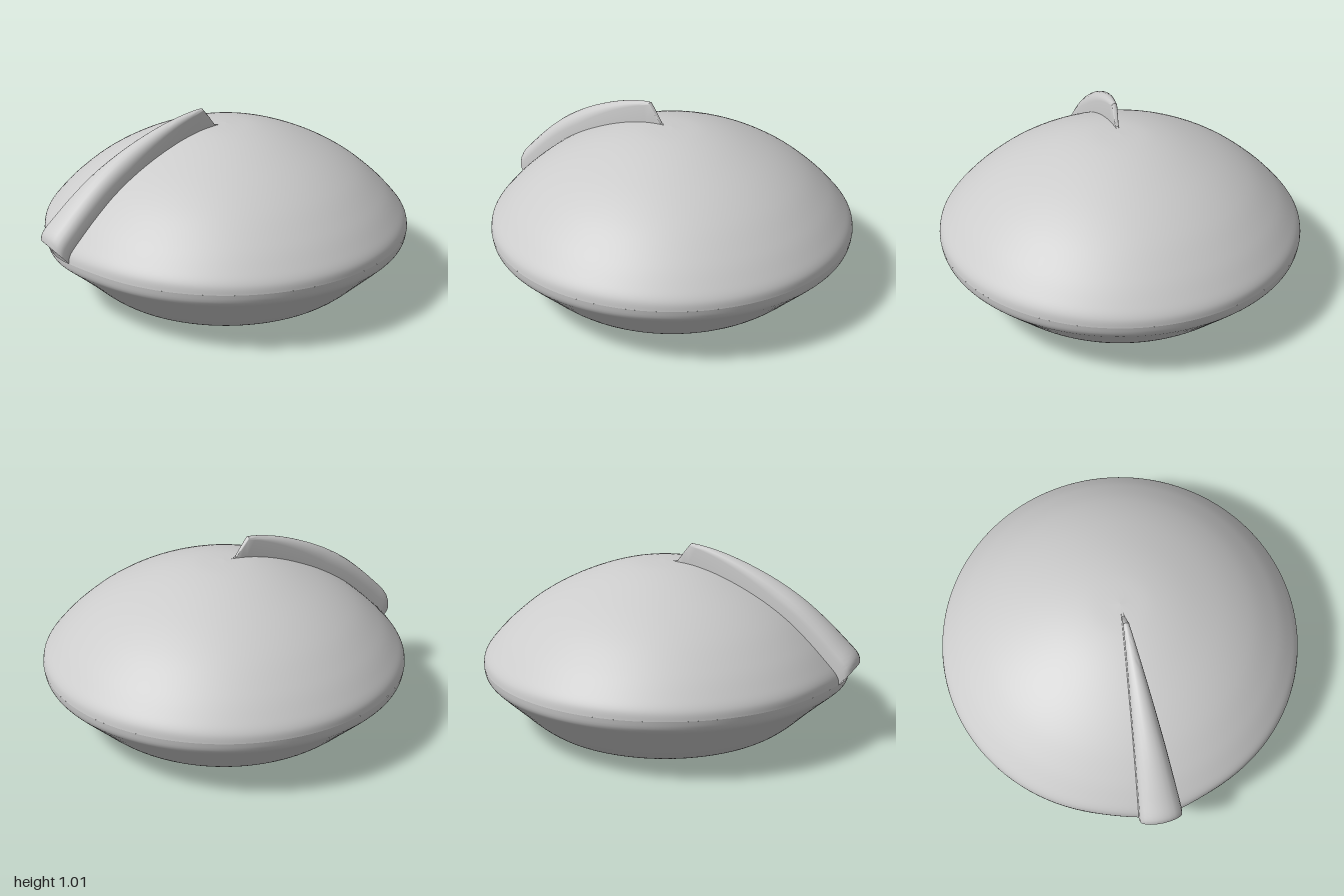
import * as THREE from 'three';
import { toCreasedNormals } from 'three/addons/utils/BufferGeometryUtils.js';

const FIN_PHI = THREE.MathUtils.degToRad(-60.7); // direction of the fin around y
const HALF = THREE.MathUtils.degToRad(6.5);      // half angle of its wedge
const material = new THREE.MeshStandardMaterial({ color: 0xcccccc, side: THREE.DoubleSide });

const curve = (pts, n) => new THREE.SplineCurve(pts.map(p => new THREE.Vector2(...p))).getPoints(n);

// Slight swelling of the rim where the fin ends
function bulge(phi, y) {
  const d = Math.atan2(Math.sin(phi - FIN_PHI), Math.cos(phi - FIN_PHI));
  return 0.03 * Math.exp(-((d / 0.2) ** 2) - ((y - 0.37) / 0.1) ** 2);
}

function shell(name, profile, start, length) {
  const g = new THREE.LatheGeometry(profile, 120, start, length);
  const p = g.attributes.position;
  for (let i = 0; i < p.count; i++) {
    const x = p.getX(i), y = p.getY(i), z = p.getZ(i), r = Math.hypot(x, z);
    if (r < 0.5) continue;
    const k = 1 + bulge(Math.atan2(x, z), y) / r;
    p.setXYZ(i, x * k, y, z * k);
  }
  const m = new THREE.Mesh(g, material);
  m.name = name;
  return m;
}

// Hollow tapering fin: rounded cross-sections standing on the dome profile
function fin(profile) {
  const pos = [], idx = [], N = 10, ring = N + 3;
  const u = [Math.sin(FIN_PHI), Math.cos(FIN_PHI)];
  const v = [Math.cos(FIN_PHI), -Math.sin(FIN_PHI)];
  const add = (rho, y, s) => pos.push(u[0] * rho + v[0] * s, y, u[1] * rho + v[1] * s);

  profile.forEach((pt, i) => {
    const a = profile[Math.max(i - 1, 0)], b = profile[Math.min(i + 1, profile.length - 1)];
    const tilt = Math.min(Math.atan2(a.y - b.y, b.x - a.x), 0.72);
    const dr = Math.sin(tilt), dy = Math.cos(tilt);
    const h = 0.115 * THREE.MathUtils.clamp((pt.x - 0.07) / 0.07, 0, 1);
    const r = pt.x + bulge(FIN_PHI + HALF, pt.y);
    const w = r * Math.sin(HALF), rho = r * Math.cos(HALF);
    const round = Math.min(0.6 * h, w);
    add(rho, pt.y, w);
    for (let k = 0; k <= N; k++) {
      const t = Math.PI * k / N, e = h - round + round * Math.sin(t);
      add(rho + dr * e, pt.y + dy * e, w * Math.cos(t));
    }
    add(rho, pt.y, -w);
  });
  for (let i = 0; i < profile.length - 1; i++) {
    for (let k = 0; k < ring - 1; k++) {
      const a = i * ring + k, b = a + ring;
      idx.push(a, a + 1, b, a + 1, b + 1, b);
    }
  }
  // Outer end wall
  const last = (profile.length - 1) * ring;
  for (let k = 1; k < ring - 1; k++) idx.push(last, last + k, last + k + 1);

  const g = new THREE.BufferGeometry();
  g.setAttribute('position', new THREE.Float32BufferAttribute(pos, 3));
  g.setIndex(idx);
  const m = new THREE.Mesh(toCreasedNormals(g, 0.7), material);
  m.name = 'fin';
  return m;
}

export function createModel() {
  const group = new THREE.Group();
  group.name = 'domedShell';

  const dome = curve([[0, 0.905], [0.17, 0.893], [0.35, 0.848], [0.55, 0.765], [0.72, 0.665],
    [0.86, 0.55], [0.95, 0.455], [0.99, 0.4], [1, 0.355]], 48);
  const bowl = curve([[1, 0.355], [0.99, 0.305], [0.95, 0.26], [0.85, 0.165], [0.76, 0.08],
    [0.69, 0.03], [0.62, 0.005], [0.55, 0]], 28);

  // Dome leaves a wedge open beneath the hollow fin
  group.add(shell('dome', dome.slice().reverse(), FIN_PHI + HALF, Math.PI * 2 - 2 * HALF));
  // Lower bowl with an open mouth underneath
  group.add(shell('bowl', bowl.slice().reverse(), FIN_PHI + HALF, Math.PI * 2));
  group.add(fin(dome));
  return group;
}
